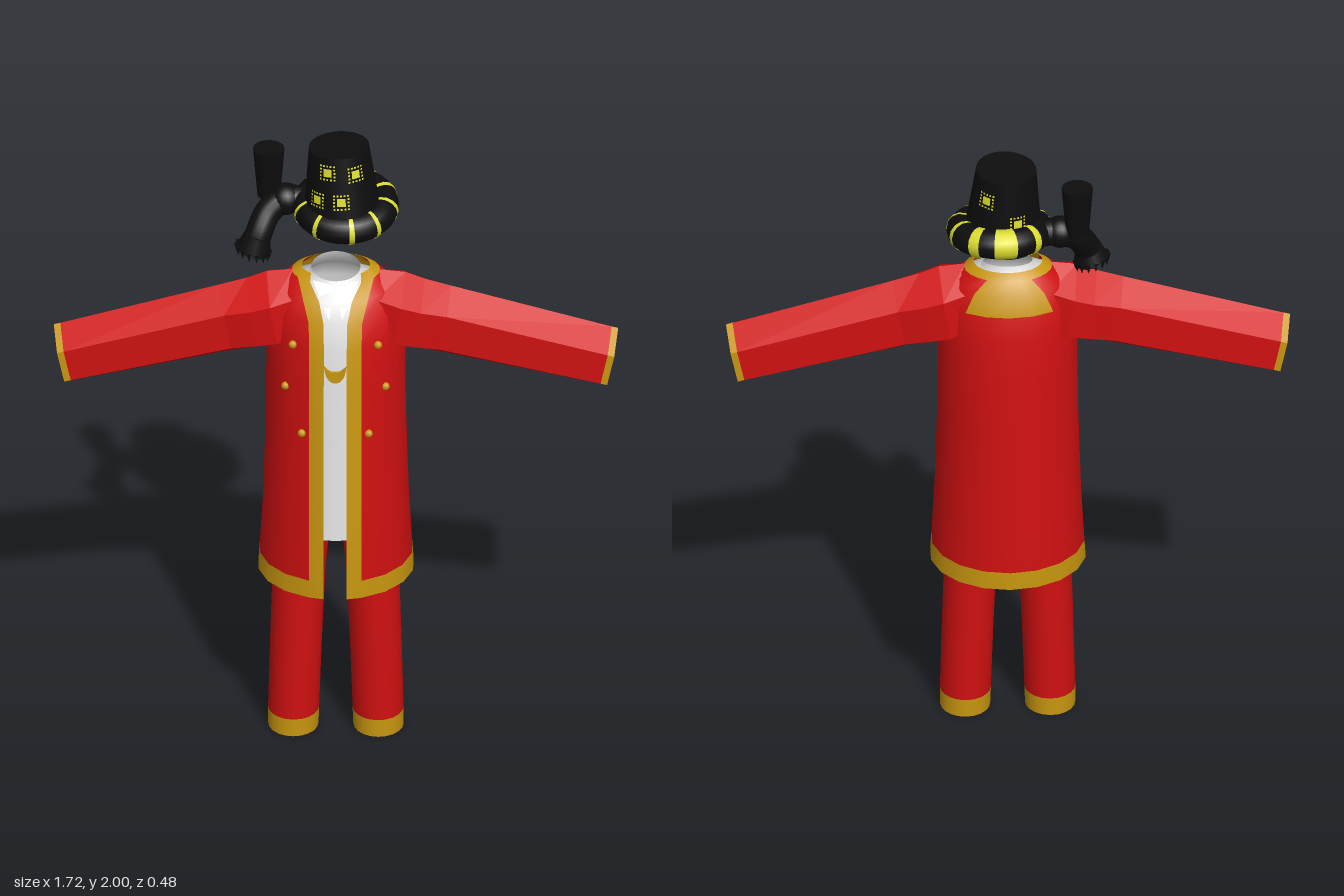
import * as THREE from 'three';

const mat = (name, color) => {
  const m = new THREE.MeshStandardMaterial({ color, side: THREE.DoubleSide });
  m.name = name;
  return m;
};
const V = (x, y, z) => new THREE.Vector3(x, y, z);

export function createModel() {
  const red = mat('red cloth', 0xd01010), gold = mat('gold trim', 0xc8960f);
  const black = mat('black cloth', 0x0d0d0d), yellow = mat('yellow print', 0xdcdc30);
  const white = mat('white linen', 0xe4e4e4);
  const model = new THREE.Group();

  const add = (parent, name, geo, material, pos = [0, 0, 0]) => {
    const m = new THREE.Mesh(geo, material);
    m.name = name;
    m.position.set(...pos);
    parent.add(m);
    return m;
  };

  // Skin over rows of points; isTrim(row, col) sends a cell to the second material
  const skin = (rows, closed, isTrim = () => false, flat = false) => {
    const n = rows[0].length, sets = [[], []];
    for (let i = 0; i < rows.length - 1; i++) {
      for (let j = 0; j < (closed ? n : n - 1); j++) {
        const k = (j + 1) % n, a = i * n + j, b = i * n + k, c = a + n, d = b + n;
        sets[isTrim(i, j) ? 1 : 0].push(a, b, d, a, d, c);
      }
    }
    let g = new THREE.BufferGeometry().setFromPoints(rows.flat());
    g.setIndex([...sets[0], ...sets[1]]);
    if (flat) g = g.toNonIndexed();
    g.computeVertexNormals();
    g.addGroup(0, sets[0].length, 0);
    g.addGroup(sets[0].length, sets[1].length, 1);
    return g;
  };
  const ring = (cx, y, cz, rx, rz, n = 28, tilt = 0) => Array.from({ length: n }, (_, i) => {
    const t = i / n * Math.PI * 2;
    return V(cx + rx * Math.sin(t), y - tilt * Math.cos(t), cz + rz * Math.cos(t));
  });

  // Coat profile: height, half width, front z, back z, opening edge x, band edge x
  const profile = [
    [0.56, 0.24, 0.24, -0.2, 0.035, 0.08], [0.62, 0.236, 0.24, -0.2, 0.035, 0.08],
    [0.8, 0.226, 0.236, -0.192, 0.035, 0.08], [1.1, 0.217, 0.216, -0.176, 0.035, 0.08],
    [1.3, 0.215, 0.206, -0.166, 0.035, 0.08], [1.42, 0.215, 0.192, -0.152, 0.035, 0.08],
    [1.5, 0.212, 0.175, -0.14, 0.036, 0.082], [1.56, 0.18, 0.142, -0.118, 0.05, 0.1],
    [1.6, 0.135, 0.105, -0.09, 0.078, 0.116], [1.617, 0.105, 0.085, -0.065, 0.076, 0.098]];
  const coatAt = (y) => {
    const i = Math.max(0, profile.findIndex((p) => p[0] >= y) - 1);
    const a = profile[i], b = profile[i + 1], f = (y - a[0]) / (b[0] - a[0]);
    return a.map((v, k) => v + (b[k] - v) * f);
  };
  const coatPoint = ([y, rx, zf, zb], t) =>
    V(rx * Math.sin(t), y, (zf + zb) / 2 + (zf - zb) / 2 * Math.cos(t));
  const coatRows = profile.map((p) => {
    const t0 = Math.asin(p[4] / p[1]), t1 = Math.asin(p[5] / p[1]), ts = [t0];
    for (let k = 0; k <= 8; k++) ts.push(t1 + (Math.PI - t1) * k / 8);
    const back = ts.slice(0, -1).reverse().map((t) => 2 * Math.PI - t);
    return [...ts, ...back].map((t) => coatPoint(p, t));
  });
  const coat = new THREE.Group();
  coat.name = 'coat';
  model.add(coat);
  add(coat, 'coatBody', skin(coatRows, false, (i, j) =>
    i === 0 || j === 0 || j === 17 || i === 8 || (i >= 6 && j >= 7 && j <= 10)), [red, gold]);

  // Hexagonal sleeves: x, centre y, vertical radius, depth radius
  const sleeve = [[0.11, 1.49, 0.115, 0.09], [0.19, 1.468, 0.128, 0.115], [0.25, 1.452, 0.12, 0.108],
    [0.33, 1.432, 0.116, 0.092], [0.82, 1.305, 0.101, 0.088], [0.84, 1.3, 0.101, 0.088]];
  for (const s of [1, -1]) {
    const rows = sleeve.map(([x, y, ry, rz]) => Array.from({ length: 6 }, (_, i) => {
      const t = -s * i * Math.PI / 3, c = Math.cos(t);
      return V(s * (x + 0.022 * c), y + ry * c, 0.015 + rz * 1.15 * Math.sin(t));
    }));
    add(coat, s > 0 ? 'leftSleeve' : 'rightSleeve', skin(rows, true, (i) => i === 4, true), [red, gold]);

    // Coat buttons
    for (const [x, y] of [[0.13, 1.42], [0.153, 1.27], [0.102, 1.125]]) {
      const p = coatAt(y), at = coatPoint(p, Math.asin(x / p[1]));
      add(coat, 'button', new THREE.SphereGeometry(0.013, 10, 8), gold, [s * x, y, at.z]);
    }
  }

  // Shirt with an open neck
  const shirtRows = [0.76, 0.9, 1.1, 1.3, 1.42, 1.5, 1.555].map((y) => {
    const [, rx, zf, zb] = coatAt(y);
    return ring(0, y, (zf + zb) / 2, rx * 0.94, (zf - zb) / 2 * 0.94);
  });
  shirtRows.push(ring(0, 1.583, 0.016, 0.088, 0.08), ring(0, 1.615, 0.016, 0.075, 0.065, 28, 0.015));
  add(model, 'shirt', skin(shirtRows, true), white);
  for (const s of [1, -1]) {
    const flap = new THREE.BufferGeometry().setFromPoints([
      V(0, 1.59, 0.092), V(s * 0.02, 1.515, 0.172), V(s * 0.07, 1.6, 0.075)]);
    if (s < 0) flap.setIndex([0, 2, 1]);
    flap.computeVertexNormals();
    add(model, 'collarFlap', flap, white);
  }

  // Crescent neck ornament
  const moon = new THREE.Shape();
  moon.moveTo(-0.034, 0.025);
  moon.quadraticCurveTo(-0.03, -0.03, 0, -0.033);
  moon.quadraticCurveTo(0.03, -0.03, 0.034, 0.025);
  moon.quadraticCurveTo(0.015, 0, 0, 0.006);
  moon.quadraticCurveTo(-0.015, 0, -0.034, 0.025);
  add(model, 'crescent', new THREE.ExtrudeGeometry(moon, { depth: 0.008, bevelEnabled: false }), gold, [0, 1.34, 0.192]);

  // Trousers
  const trousers = new THREE.Group();
  trousers.name = 'trousers';
  model.add(trousers);
  for (const s of [1, -1]) {
    const rows = [[0.005, 0.13, 0.077], [0.065, 0.129, 0.078], [0.3, 0.122, 0.079], [0.57, 0.112, 0.081], [0.8, 0.095, 0.085]]
      .map(([y, x, r]) => ring(s * x, y, 0.046, r, r + 0.006, 20));
    add(trousers, s > 0 ? 'leftLeg' : 'rightLeg', skin(rows, true, (i) => i === 0), [red, gold]);
  }
  add(trousers, 'hips', skin([ring(0, 0.74, 0.04, 0.15, 0.08), ring(0, 0.8, 0.03, 0.18, 0.11),
    ring(0, 0.95, 0.02, 0.18, 0.13)], true), red);

  // Hat crown, leaning slightly
  const hat = new THREE.Group(), crown = new THREE.Group();
  hat.name = 'hat';
  crown.name = 'crown';
  model.add(hat);
  hat.add(crown);
  crown.position.set(0.02, 1.74, -0.055);
  crown.rotation.set(-0.05, 0, 0.046);
  const H = 0.256, radius = (y) => 0.122 - 0.03 * y / H;
  add(crown, 'crownBody', new THREE.CylinderGeometry(radius(H), radius(0), H, 32), black, [0, H / 2, 0]);
  // Printed squares edged with dots, wrapped on the crown
  const print = (x, y, w, h) => {
    const r = radius(y), a = w / r;
    add(crown, 'print', new THREE.CylinderGeometry(radius(y + h / 2) + 0.002, radius(y - h / 2) + 0.002,
      h, 4, 1, true, x - a / 2, a), yellow, [0, y, 0]);
  };
  for (const [a, y] of [[-0.38, 0.21], [0.52, 0.2], [-0.72, 0.115], [0.02, 0.115], [2.5, 0.19], [3.5, 0.12]]) {
    print(a, y, 0.026, 0.026);
    for (let i = -2; i <= 2; i++) for (let j = -2; j <= 2; j++) {
      if (Math.max(Math.abs(i), Math.abs(j)) === 2) print(a + i * 0.011 / radius(y), y + j * 0.011, 0.006, 0.006);
    }
  }

  // Rolled brim with stripes: angle from +x towards the front, width
  const brim = new THREE.Group();
  brim.name = 'brim';
  brim.position.set(0.028, 1.78, -0.075);
  brim.rotation.x = 0.16;
  hat.add(brim);
  const roll = (name, tube, start, arc, seg, m) =>
    add(brim, name, new THREE.TorusGeometry(0.118, tube, 14, seg, arc).rotateX(Math.PI / 2).rotateY(-start), m);
  roll('brimRoll', 0.045, 0, Math.PI * 2, 40, black);
  for (const [deg, w] of [[12, 0.1], [50, 0.09], [82, 0.1], [125, 0.09], [160, 0.08],
    [-22, 0.12], [-58, 0.22], [-95, 0.45], [-135, 0.16]]) {
    roll('brimStripe', 0.047, deg * Math.PI / 180 - w / 2, w, 4, yellow);
  }

  // Scarf: upright end, knot and hanging tail with fringe
  const scarf = new THREE.Group();
  scarf.name = 'scarf';
  hat.add(scarf);
  add(scarf, 'uprightEnd', new THREE.CylinderGeometry(0.048, 0.035, 0.165, 20), black, [-0.207, 1.87, -0.12]);
  add(scarf, 'knot', new THREE.SphereGeometry(0.05, 18, 14), black, [-0.155, 1.785, -0.1]);
  const tail = new THREE.CatmullRomCurve3([V(-0.09, 1.78, -0.1), V(-0.155, 1.785, -0.1),
    V(-0.205, 1.755, -0.08), V(-0.235, 1.7, -0.045), V(-0.25, 1.65, -0.032)]);
  add(scarf, 'tail', new THREE.TubeGeometry(tail, 24, 0.042, 16), black);
  const flare = add(scarf, 'tailFlare', new THREE.CylinderGeometry(0.04, 0.054, 0.06, 18), black, [-0.246, 1.67, -0.035]);
  flare.rotation.z = -0.25;
  for (let i = 0; i < 14; i++) {
    const t = i / 14 * Math.PI * 2, x = 0.05 * Math.cos(t);
    add(scarf, 'fringe', new THREE.ConeGeometry(0.009, 0.03, 5).rotateX(Math.PI), black,
      [-0.254 + x, 1.637 - x * 0.25, -0.035 + 0.047 * Math.sin(t)]);
  }
  return model;
}
